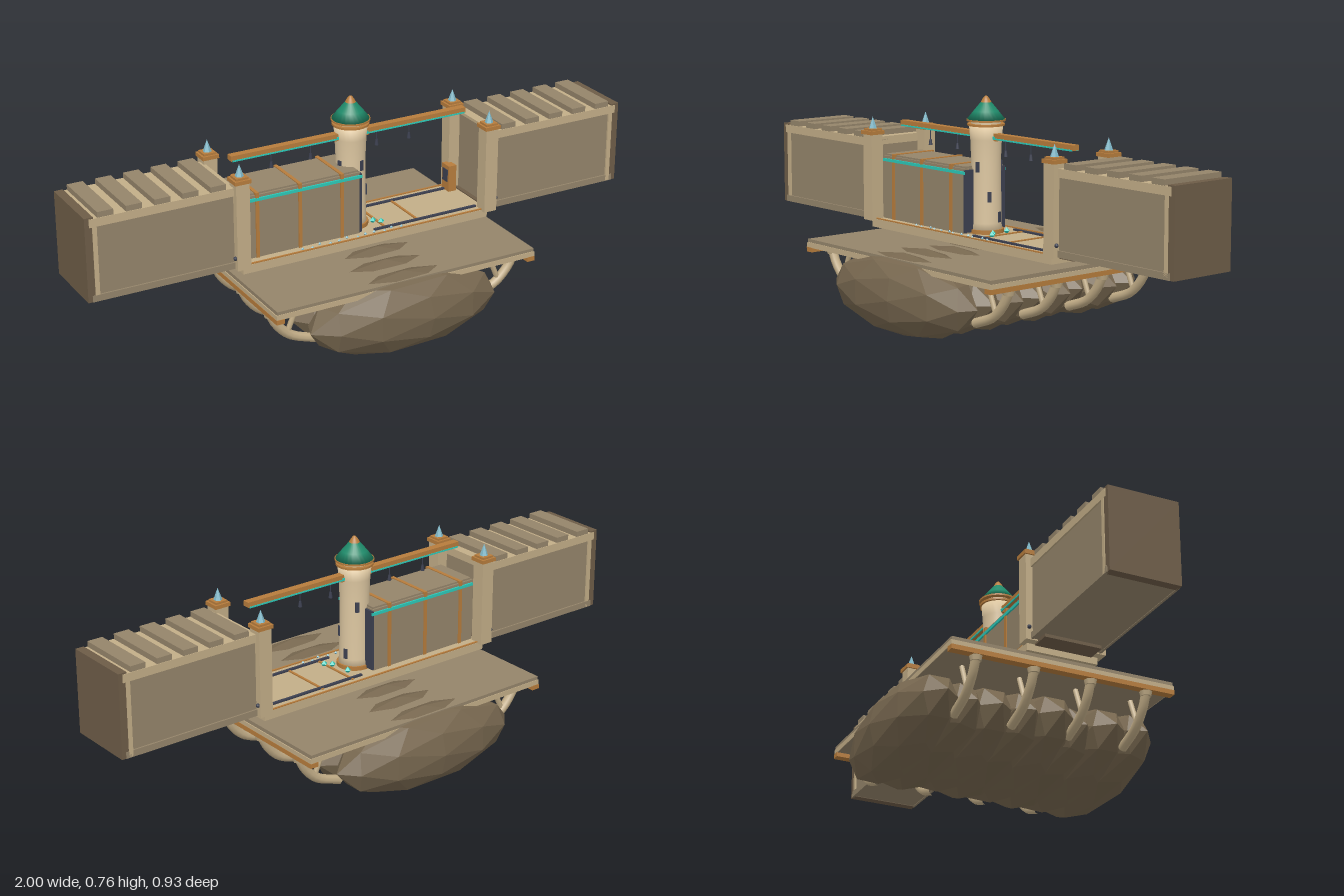
import * as THREE from 'three';

function mat(name, color) {
  const m = new THREE.MeshStandardMaterial({ color });
  m.name = name;
  return m;
}

export function createModel() {
  const stone = mat('stone', 0x94846a), pale = mat('paleStone', 0xc2ad87), rock = mat('rock', 0x77674f);
  const brown = mat('darkBrown', 0x6d5c47), cream = mat('cream', 0xdcc6a0), gold = mat('gold', 0xb67c3c);
  const green = mat('roofGreen', 0x1f8a6a), cyan = mat('cyan', 0x2cc8b8), ice = mat('ice', 0x7fb8c8);
  const slate = mat('slate', 0x3c4050);
  rock.flatShading = true;
  ice.flatShading = true;

  const model = new THREE.Group();
  const add = (name, geo, m, x = 0, y = 0, z = 0, parent = model) => {
    const mesh = new THREE.Mesh(geo, m);
    mesh.name = name;
    mesh.position.set(x, y, z);
    parent.add(mesh);
    return mesh;
  };
  // Box given by its minimum and maximum corners
  const box = (name, m, x0, x1, y0, y1, z0, z1, parent) => add(name,
    new THREE.BoxGeometry(Math.abs(x1 - x0), y1 - y0, z1 - z0), m,
    (x0 + x1) / 2, (y0 + y1) / 2, (z0 + z1) / 2, parent);

  // Row of faceted boulders
  const widths = [0.36, 0.35, 0.33, 0.35, 0.36, 0.33, 0.35, 0.355];
  const shifts = [-0.01, 0.01, -0.015, 0.0, -0.02, 0.015, -0.01, 0.0];
  widths.forEach((w, i) => {
    const g = new THREE.IcosahedronGeometry(1, 1);
    g.rotateY(i % 2 ? 0.15 : 0);
    g.scale(w, 0.138, 0.115);
    add('boulder', g, rock, shifts[i], 0.138, -0.35 + i * 0.1);
  });

  // Deck with trim along both long edges
  box('deck', stone, -0.48, 0.48, 0.232, 0.261, -0.39, 0.39);
  for (const s of [-1, 1]) {
    box('deckTrim', gold, s * 0.455, s * 0.484, 0.217, 0.233, -0.393, 0.393);
    box('deckLip', pale, s * 0.46, s * 0.483, 0.233, 0.248, -0.392, 0.392);
    box('deckEdge', pale, -0.48, 0.48, 0.232, 0.25, s * 0.391 - 0.001, s * 0.391 + 0.001);
    // Curved struts down to the boulders
    for (const z of [-0.3, -0.1, 0.1, 0.3]) {
      const path = new THREE.CatmullRomCurve3([[0.465, 0.22], [0.44, 0.17], [0.39, 0.12], [0.3, 0.085]]
        .map(([x, y]) => new THREE.Vector3(s * x, y, z)));
      add('strut', new THREE.TubeGeometry(path, 10, 0.016, 8), pale);
      const brace = new THREE.LineCurve3(new THREE.Vector3(s * 0.36, 0.225, z), new THREE.Vector3(s * 0.4, 0.13, z));
      add('brace', new THREE.TubeGeometry(brace, 1, 0.009, 6), pale);
      add('strutCap', new THREE.CylinderGeometry(0.022, 0.018, 0.018, 8), pale, s * 0.462, 0.21, z);
    }
  }

  // Roadway
  box('roadway', pale, -0.465, 0.465, 0.276, 0.305, -0.125, 0.125);
  for (const s of [-1, 1]) box('roadEdge', gold, -0.45, 0.45, 0.302, 0.309, s * 0.121 - 0.003, s * 0.121 + 0.003);
  box('roadRail', slate, 0.04, 0.44, 0.305, 0.311, 0.085, 0.095);
  box('roadRail', slate, 0.04, 0.44, 0.305, 0.311, -0.095, -0.085);
  for (const x of [0.085, 0.21]) box('roadStrip', gold, x - 0.004, x + 0.004, 0.305, 0.309, -0.1, 0.085);

  // Wall wings, mirrored
  for (const s of [-1, 1]) {
    const wing = new THREE.Group();
    wing.name = 'wing';
    model.add(wing);
    const b = (n, m, x0, x1, ...r) => box(n, m, s * x0, s * x1, ...r, wing);
    b('wingWall', stone, 0.485, 0.99, 0.305, 0.575, -0.118, 0.118);
    b('wingTop', pale, 0.485, 0.985, 0.557, 0.585, -0.124, 0.124);
    b('wingEnd', brown, 0.97, 1.0, 0.303, 0.59, -0.122, 0.122);
    b('wingFoot', brown, 0.47, 0.54, 0.294, 0.305, -0.1, 0.1);
    for (const z of [-1, 1]) {
      b('wingBottomRail', stone, 0.485, 0.985, 0.303, 0.325, z * 0.12 - 0.004, z * 0.12 + 0.004);
      b('wingCornerPost', pale, 0.96, 0.975, 0.305, 0.58, z * 0.12 - 0.004, z * 0.12 + 0.004);
    }
    for (let i = 0; i < 5; i++) {
      const x = 0.545 + i * 0.096;
      b('merlon', stone, x - 0.027, x + 0.027, 0.583, 0.604, -0.122, 0.122);
    }
    // Pillars with caps and crystal spikes
    for (const z of [-0.117, 0.117]) {
      b('pillar', pale, 0.444, 0.492, 0.3, 0.6, z - 0.024, z + 0.024);
      b('pillarCap', gold, 0.439, 0.497, 0.6, 0.613, z - 0.029, z + 0.029);
      b('pillarCapTop', gold, 0.446, 0.49, 0.613, 0.62, z - 0.022, z + 0.022);
      add('spike', new THREE.ConeGeometry(0.015, 0.042, 6), ice, s * 0.468, 0.64, z, wing);
      add('pillarKnob', new THREE.SphereGeometry(0.007, 8, 6), slate, s * 0.495, 0.342, z * 1.12, wing);
    }
  }
  box('controlBox', gold, 0.425, 0.455, 0.305, 0.4, -0.105, -0.06);
  box('controlPanel', slate, 0.422, 0.426, 0.34, 0.385, -0.098, -0.067);

  // Gate block with straps and glowing line
  box('gateBlock', stone, -0.45, -0.012, 0.305, 0.525, -0.085, 0.085);
  box('gateTop', stone, -0.445, -0.016, 0.525, 0.531, -0.078, 0.078);
  box('gateFace', slate, -0.013, -0.005, 0.31, 0.52, -0.088, 0.088);
  for (const s of [-1, 1]) box('gateGlow', cyan, -0.445, -0.005, 0.506, 0.516, s * 0.088 - 0.003, s * 0.088 + 0.003);
  for (const x of [-0.392, -0.236, -0.08])
    box('gateStrap', gold, x - 0.006, x + 0.006, 0.305, 0.534, -0.0895, 0.0895);

  // Tower
  const lathe = (name, m, pts) => add(name, new THREE.LatheGeometry(pts.map(p => new THREE.Vector2(...p)), 24), m);
  lathe('towerBody', cream, [[0, 0.3], [0.056, 0.3], [0.052, 0.34], [0.05, 0.55], [0.053, 0.62], [0.057, 0.665], [0, 0.665]]);
  lathe('towerRoof', green, [[0, 0.686], [0.064, 0.686], [0.042, 0.714], [0.018, 0.743]]);
  lathe('roofTip', gold, [[0.019, 0.741], [0.012, 0.754], [0.005, 0.763], [0, 0.765]]);
  add('towerNeck', new THREE.CylinderGeometry(0.05, 0.05, 0.02, 24), cream, 0, 0.674, 0);
  [[0.063, 0.669, 0.007], [0.066, 0.684, 0.006], [0.06, 0.312, 0.014]].forEach(([r, y, h]) =>
    add('towerRing', new THREE.CylinderGeometry(r, r, h, 24), gold, 0, y, 0));
  // Windows climbing around the tower
  for (let i = 0; i < 8; i++) {
    const a = i * Math.PI / 4 + 0.3, y = [0.53, 0.43, 0.36][i % 3];
    const w = add('towerWindow', new THREE.BoxGeometry(0.013, 0.035, 0.009), slate, Math.sin(a) * 0.05, y, Math.cos(a) * 0.05);
    w.rotation.y = a;
  }
  for (const s of [-1, 1]) {
    box('towerLamp', gold, s * 0.05, s * 0.064, 0.618, 0.642, -0.012, 0.012);
    for (const z of [-1, 1]) box('lampGlow', cyan, s * 0.052, s * 0.06, 0.627, 0.633, z * 0.014 - 0.002, z * 0.014 + 0.002);
  }

  // Overhead beam with hanging lanterns
  box('beam', gold, -0.445, 0.44, 0.625, 0.643, -0.013, 0.013);
  for (const s of [-1, 1]) box('beamGlow', cyan, -0.44, 0.435, 0.623, 0.628, s * 0.013 - 0.002, s * 0.013 + 0.002);
  for (const x of [-0.295, -0.15, 0.1, 0.225]) {
    add('chain', new THREE.CylinderGeometry(0.002, 0.002, 0.04, 6), slate, x, 0.606, 0);
    add('lantern', new THREE.CylinderGeometry(0.004, 0.007, 0.02, 6), slate, x, 0.58, 0);
  }

  // Small crystals scattered along the front of the roadway
  for (let i = 0; i < 12; i++)
    add('crystal', new THREE.OctahedronGeometry(0.006), ice, -0.24 + i * 0.034, 0.308, 0.108 + 0.008 * Math.sin(i * 2.3));
  for (const [x, z] of [[0.07, 0.03], [0.09, 0.05], [0.06, -0.04]])
    add('glowShard', new THREE.OctahedronGeometry(0.012), cyan, x, 0.312, z);
  return model;
}
